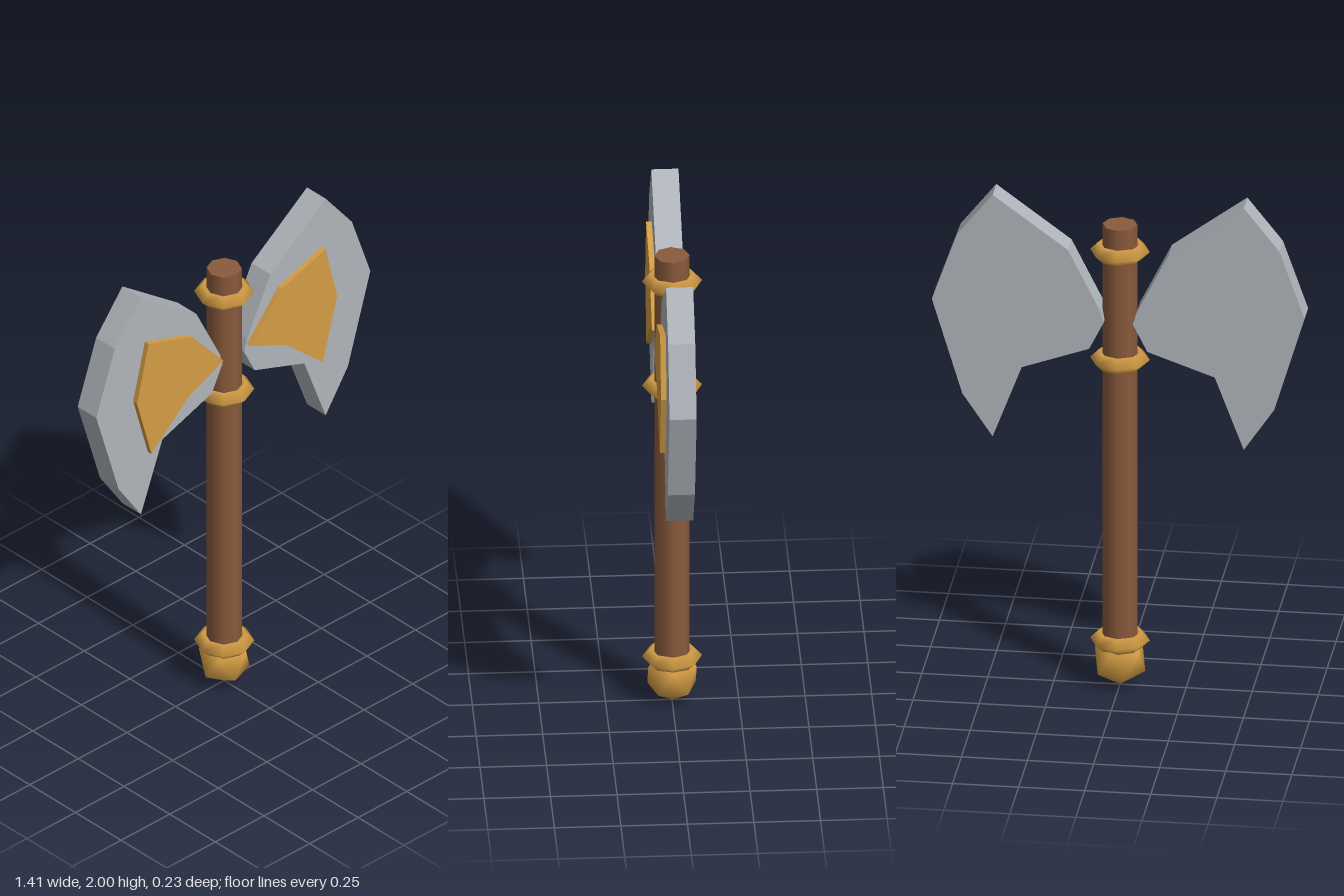
import * as THREE from 'three';
import { mergeVertices } from 'three/addons/utils/BufferGeometryUtils.js';

const steel = new THREE.MeshStandardMaterial({ name: 'steel', color: 0xb0b5bb });
const gold = new THREE.MeshStandardMaterial({ name: 'gold', color: 0xd49d45 });
const wood = new THREE.MeshStandardMaterial({ name: 'wood', color: 0x8a5a3c });

// Outlines for the left (+x) side; the other side is mirrored
const BLADE = [[0.055, 1.5], [0.11, 1.39], [0.365, 1.3], [0.475, 1.01], [0.59, 1.18],
  [0.705, 1.56], [0.61, 1.83], [0.475, 2], [0.19, 1.79], [0.07, 1.55]];
const INLAY = [[0.07, 1.53], [0.25, 1.45], [0.44, 1.28], [0.515, 1.545], [0.455, 1.79], [0.23, 1.715]];

function addMesh(parent, name, geometry, material) {
  const mesh = new THREE.Mesh(geometry, material);
  mesh.name = name;
  parent.add(mesh);
  return mesh;
}

// Flat plate from an outline, spanning z0 to z1
function plate(points, side, z0, z1) {
  const shape = new THREE.Shape(points.map(([x, y]) => new THREE.Vector2(x * side, y)));
  return new THREE.ExtrudeGeometry(shape, { depth: z1 - z0, bevelEnabled: false }).translate(0, 0, z0);
}

export function createModel() {
  const axe = new THREE.Group();
  axe.name = 'doubleAxe';

  // Eight-sided shaft
  addMesh(axe, 'handle', new THREE.CylinderGeometry(0.066, 0.066, 1.775, 8), wood).position.y = 0.9975;

  // Faceted collars
  [['pommelRing', 0.186], ['lowerRing', 1.335], ['upperRing', 1.777]].forEach(([name, y]) => {
    const ring = new THREE.TorusGeometry(0.08, 0.033, 4, 8).rotateX(Math.PI / 2);
    addMesh(axe, name, ring, gold).position.y = y;
  });

  // Pommel: smooth-shaded icosahedron standing on one corner
  let pommel = new THREE.IcosahedronGeometry(0.107, 0);
  pommel.deleteAttribute('normal');
  pommel.deleteAttribute('uv');
  pommel = mergeVertices(pommel);
  pommel.computeVertexNormals();
  pommel.rotateZ(-Math.atan(2 / (1 + Math.sqrt(5))));
  addMesh(axe, 'pommel', pommel, gold).position.y = 0.107;

  // Blades with a raised inlay on the front only
  [['left', 1], ['right', -1]].forEach(([label, side]) => {
    addMesh(axe, label + 'Blade', plate(BLADE, side, -0.052, 0.05), steel);
    addMesh(axe, label + 'Inlay', plate(INLAY, side, 0.045, 0.071), gold);
  });

  return axe;
}
